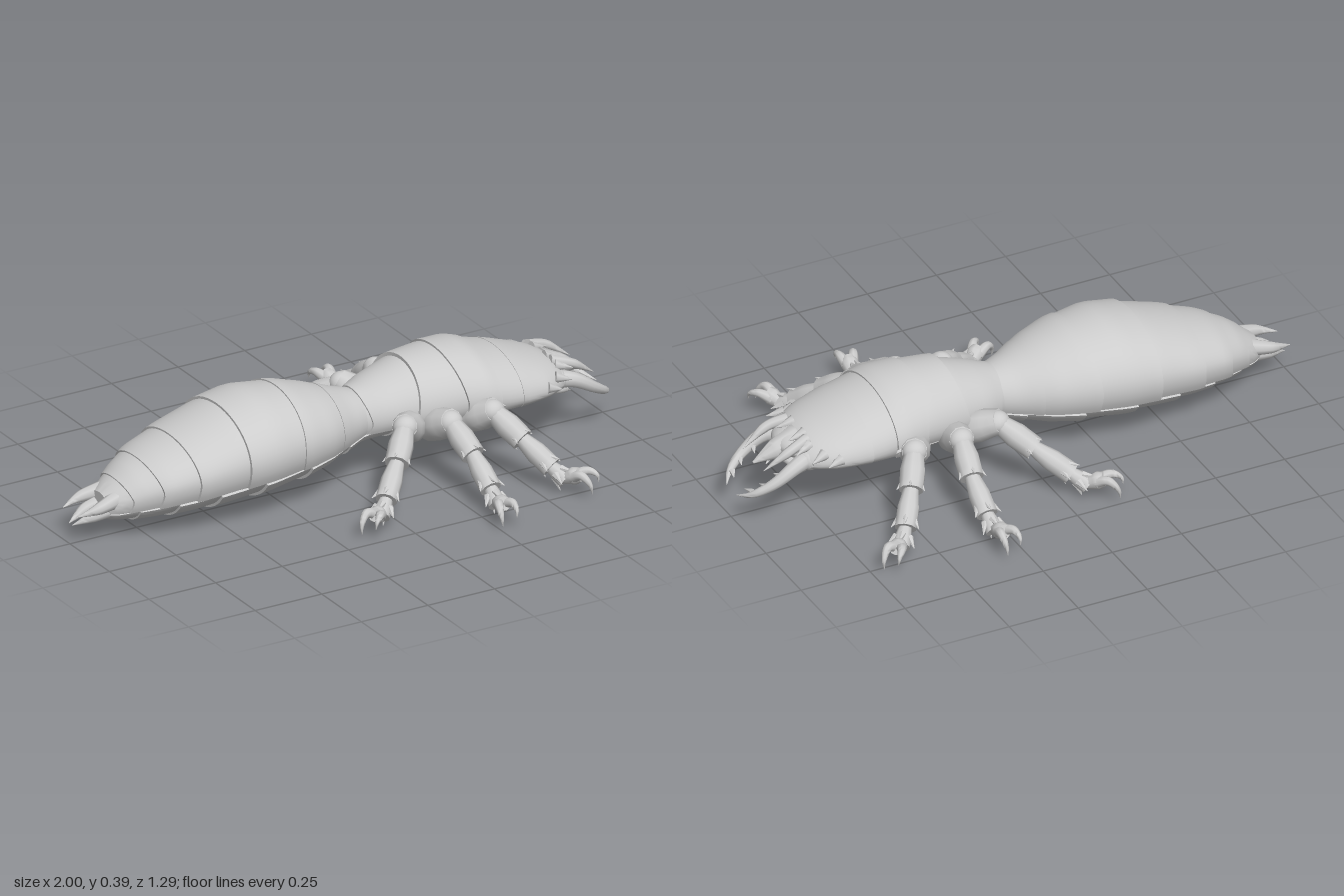
import * as THREE from 'three';
import { toCreasedNormals } from 'three/addons/utils/BufferGeometryUtils.js';

const V = (x, y, z) => new THREE.Vector3(x, y, z);
const shell = new THREE.MeshStandardMaterial({ color: 0xcccccc, side: THREE.DoubleSide });
shell.name = 'pale grey shell';

// Body outline along x: [x, half width, bottom, widest height, top]
const BODY = [
  [-0.89, 0.055, 0.08, 0.125, 0.165], [-0.86, 0.08, 0.066, 0.135, 0.19], [-0.8, 0.115, 0.058, 0.16, 0.235],
  [-0.72, 0.16, 0.053, 0.185, 0.275], [-0.6, 0.197, 0.05, 0.205, 0.32], [-0.46, 0.22, 0.053, 0.225, 0.372],
  [-0.34, 0.228, 0.058, 0.235, 0.4], [-0.2, 0.208, 0.07, 0.235, 0.388], [-0.1, 0.178, 0.085, 0.23, 0.36],
  [0, 0.125, 0.112, 0.22, 0.325], [0.06, 0.1, 0.13, 0.22, 0.31], [0.12, 0.127, 0.138, 0.23, 0.335],
  [0.24, 0.162, 0.14, 0.24, 0.375], [0.36, 0.188, 0.13, 0.25, 0.392], [0.46, 0.205, 0.125, 0.25, 0.385],
  [0.54, 0.203, 0.145, 0.235, 0.358], [0.62, 0.196, 0.16, 0.225, 0.335], [0.7, 0.182, 0.165, 0.22, 0.308],
  [0.76, 0.15, 0.17, 0.215, 0.288], [0.8, 0.115, 0.172, 0.21, 0.26],
];

function outline(x) {
  let i = 0;
  while (i < BODY.length - 2 && x > BODY[i + 1][0]) i++;
  const a = BODY[i], b = BODY[i + 1];
  const t = THREE.MathUtils.clamp((x - a[0]) / (b[0] - a[0]), 0, 1);
  return a.map((v, k) => v + (b[k] - v) * t);
}

// Point on the body at station x and angle a, from +z over the top
function skin(x, a, scale) {
  const [, hw, lo, mid, hi] = outline(x);
  const s = Math.sin(a);
  return V(x, mid + scale * s * (s > 0 ? hi - mid : mid - lo), scale * hw * Math.cos(a));
}

// Joins closed rings into a solid, capping both ends
function loft(rings, crease = 0.6) {
  const n = rings[0].length, index = [], pos = rings.flat().flatMap((p) => p.toArray());
  for (let i = 0; i < rings.length - 1; i++) {
    for (let j = 0; j < n; j++) {
      const a = i * n + j, b = i * n + (j + 1) % n;
      index.push(a, a + n, b, b, a + n, b + n);
    }
  }
  const e = (rings.length - 1) * n;
  for (let j = 0; j < n / 2 - 1; j++) {
    const a = j, b = j + 1, c = n - 2 - j, d = n - 1 - j;
    index.push(a, b, c, a, c, d, e + a, e + c, e + b, e + a, e + d, e + c);
  }
  const g = new THREE.BufferGeometry();
  g.setAttribute('position', new THREE.Float32BufferAttribute(pos, 3));
  g.setIndex(index);
  return toCreasedNormals(g, crease);
}

function add(parent, name, geometry) {
  const m = new THREE.Mesh(geometry, shell);
  m.name = name;
  parent.add(m);
  return m;
}

// Curved armour plate between two stations; scale grows from s0 to s1 and bends shift the edges at the midline
function plate(x0, x1, s0, s1, bend0, bend1, a0, a1) {
  const rings = [], N = 32, M = 8;
  for (let i = 0; i <= M; i++) {
    const t = i / M, x = x0 + (x1 - x0) * t, s = s0 + (s1 - s0) * t, ring = [];
    for (const back of [false, true]) {
      for (let j = 0; j <= N; j++) {
        const a = a0 + (a1 - a0) * (back ? N - j : j) / N;
        const shift = (bend0 + (bend1 - bend0) * t) * Math.abs(Math.sin(a));
        const p = skin(x + shift, a, back ? s * 0.9 : s);
        p.x = x + shift;
        ring.push(p);
      }
    }
    rings.push(ring);
  }
  return loft(rings);
}

// Tapered limb, spine or claw through points, with radii spread along it
function horn(points, radii, sides = 10) {
  const curve = new THREE.CatmullRomCurve3(points), M = points.length > 2 ? 16 : 6;
  const f = curve.computeFrenetFrames(M), rings = [];
  for (let i = 0; i <= M; i++) {
    const u = i / M, k = u * (radii.length - 1), q = Math.min(Math.floor(k), radii.length - 2);
    const r = radii[q] + (radii[q + 1] - radii[q]) * (k - q), c = curve.getPointAt(u), ring = [];
    for (let j = 0; j < sides; j++) {
      const a = j / sides * Math.PI * 2;
      ring.push(c.clone().addScaledVector(f.normals[i], r * Math.cos(a)).addScaledVector(f.binormals[i], -r * Math.sin(a)));
    }
    rings.push(ring);
  }
  return loft(rings, 0.9);
}

function ball(parent, name, p, sx, sy, sz) {
  const m = add(parent, name, new THREE.SphereGeometry(1, 18, 12));
  m.position.copy(p);
  m.scale.set(sx, sy, sz);
}

// Leg with coxa, thigh, two flared shin sections, foot and two claws
function leg(name, side, plan, lean) {
  const g = new THREE.Group();
  g.name = name;
  const heights = [0.18, 0.235, 0.165, 0.09, 0.055, 0.075];
  const p = plan.map(([x, z], i) => V(x + (side < 0 ? lean * i / 5 : 0), heights[i], z * side));
  const widths = [[0.05, 0.055, 0.042], [0.03, 0.042, 0.04], [0.024, 0.036, 0.036], [0.02, 0.027, 0.03], [0.019, 0.024, 0.03, 0.024]];
  const parts = ['coxa', 'thigh', 'upperShin', 'lowerShin', 'foot'];
  parts.forEach((part, i) => {
    const a = p[i], b = p[i + 1], dir = b.clone().sub(a).normalize();
    add(g, part, horn([a, b.clone().addScaledVector(dir, 0.01)], widths[i]));
    const across = V(0, 1, 0).cross(dir).normalize();
    const up = dir.clone().cross(across).normalize();
    // Thorns around the far end of each section
    if (i > 0 && i < 4) {
      for (const [u, v] of [[1, 0.2], [-1, 0.2], [0, 1], [0, -1]]) {
        const o = across.clone().multiplyScalar(u).addScaledVector(up, v);
        const root = b.clone().addScaledVector(dir, -0.025).addScaledVector(o, 0.022);
        add(g, 'thorn', horn([root, root.clone().addScaledVector(dir, 0.04).addScaledVector(o, 0.024)], [0.013, 0.001], 6));
      }
    }
    if (i === 4) {
      for (const s of [-1, 1]) {
        const at = (d, h, w) => b.clone().addScaledVector(dir, d).addScaledVector(across, s * w).add(V(0, h, 0));
        add(g, 'claw', horn([at(-0.015, 0, 0.01), at(0.03, 0.0, 0.024), at(0.065, -0.033 + s * 0.008, 0.026), at(0.07, -0.06 + s * 0.012, 0.024)], [0.02, 0.016, 0.01, 0.001], 8));
      }
    }
  });
  ball(g, 'knee', p[1], 0.042, 0.038, 0.04);
  return g;
}

export function createModel() {
  const model = new THREE.Group();
  model.name = 'insect';

  // Inner body under the plates
  const core = [];
  for (let i = 0; i <= 70; i++) {
    const x = -0.89 + 1.66 * i / 70;
    core.push(Array.from({ length: 40 }, (_, j) => skin(x, j / 40 * Math.PI * 2, 0.95)));
  }
  add(model, 'bodyCore', loft(core));

  // Overlapping back plates: [rear x, front x, rear scale, front scale, rear bend, front bend]
  const back = [
    [-0.89, -0.79, 1, 0.97, 0, 0], [-0.82, -0.7, 1.05, 0.97, -0.02, -0.01], [-0.735, -0.58, 1.05, 0.97, -0.02, -0.01],
    [-0.62, -0.42, 1.04, 0.97, -0.01, 0], [-0.45, -0.2, 1.03, 0.98, 0, 0], [-0.24, -0.03, 1.015, 0.99, 0.01, 0],
    [-0.06, 0.1, 1.01, 0.98, 0, 0], [0.075, 0.28, 1.04, 0.98, -0.02, 0.01], [0.215, 0.41, 1.07, 0.98, 0.025, -0.02],
    [0.385, 0.5, 1.04, 1.04, -0.025, 0], [0.49, 0.6, 1.0, 1.02, 0.01, 0], [0.585, 0.77, 1.03, 1.0, 0, 0.03],
  ];
  const drop = 0.42;
  back.forEach(([x0, x1, s0, s1, b0, b1], i) =>
    add(model, i < 7 ? 'abdomenBackPlate' : i < 11 ? 'thoraxBackPlate' : 'headHood',
      plate(x0, x1, s0, s1, b0, b1, -drop, Math.PI + drop)));

  // Belly plates
  const belly = [-0.88, -0.78, -0.66, -0.52, -0.36, -0.18, 0, 0.16, 0.32, 0.47];
  for (let i = 0; i < belly.length - 1; i++) {
    add(model, 'bellyPlate', plate(belly[i] - 0.015, belly[i + 1], 1.015, 0.96, 0, 0, Math.PI + 0.5, Math.PI * 2 - 0.5));
  }

  // Face: brow, beak, chin and throat
  ball(model, 'brow', V(0.77, 0.235, 0), 0.07, 0.04, 0.1);
  add(model, 'beak', horn([V(0.76, 0.24, 0), V(0.85, 0.215, 0), V(0.92, 0.19, 0)], [0.05, 0.035, 0.004]));
  ball(model, 'throat', V(0.6, 0.19, 0), 0.14, 0.05, 0.11);
  ball(model, 'chin', V(0.7, 0.175, 0), 0.12, 0.035, 0.1);

  for (const s of [1, -1]) {
    // Jaws with inner teeth
    add(model, 'jaw', horn([V(0.75, 0.215, s * 0.08), V(0.82, 0.21, s * 0.112), V(0.9, 0.165, s * 0.112),
      V(0.965, 0.125, s * 0.08), V(0.998, 0.108, s * 0.035)], [0.034, 0.026, 0.02, 0.014, 0.001]));
    for (const [x, y, z] of [[0.87, 0.18, 0.1], [0.92, 0.152, 0.095], [0.96, 0.13, 0.07]]) {
      add(model, 'jawTooth', horn([V(x, y, s * z), V(x + 0.01, y - 0.004, s * (z - 0.032))], [0.011, 0.001], 6));
    }
    ball(model, 'jawSocket', V(0.765, 0.215, s * 0.09), 0.04, 0.04, 0.045);
    // Feelers on the upper and lower face
    add(model, 'upperFeeler', horn([V(0.76, 0.275, s * 0.07), V(0.83, 0.255, s * 0.085), V(0.92, 0.2, s * 0.075)], [0.02, 0.016, 0.001], 8));
    add(model, 'lowerFeeler', horn([V(0.74, 0.17, s * 0.05), V(0.81, 0.16, s * 0.065), V(0.85, 0.14, s * 0.045)], [0.02, 0.016, 0.002], 8));
    // Head and shoulder spikes
    for (const [x, y, z, dx, dz] of [[0.69, 0.235, 0.175, 0.05, 0.012], [0.735, 0.25, 0.145, 0.055, 0.02],
      [0.765, 0.265, 0.09, 0.055, 0.025], [0.755, 0.28, 0.04, 0.06, 0.005], [0.47, 0.24, 0.2, 0.04, 0.015]]) {
      add(model, 'spike', horn([V(x, y, s * z), V(x + dx, y - 0.012, s * (z + dz))], [0.02, 0.001], 8));
    }
    // Tail prongs
    add(model, 'upperTailProng', horn([V(-0.85, 0.15, s * 0.045), V(-0.93, 0.135, s * 0.058), V(-1, 0.118, s * 0.045)], [0.03, 0.02, 0.001], 8));
    add(model, 'lowerTailProng', horn([V(-0.86, 0.115, s * 0.03), V(-0.93, 0.1, s * 0.03), V(-0.998, 0.076, s * 0.01)], [0.03, 0.02, 0.001], 8));

    const hand = s > 0 ? 'right' : 'left';
    model.add(leg(hand + 'FrontLeg', s, [[0.41, 0.14], [0.445, 0.235], [0.495, 0.33], [0.55, 0.42], [0.578, 0.465], [0.605, 0.505]], 0.05));
    model.add(leg(hand + 'MiddleLeg', s, [[0.27, 0.13], [0.285, 0.24], [0.3, 0.35], [0.3, 0.465], [0.295, 0.515], [0.285, 0.572]], 0.02));
    model.add(leg(hand + 'RearLeg', s, [[0.22, 0.11], [0.14, 0.2], [0.06, 0.285], [-0.03, 0.37], [-0.07, 0.405], [-0.11, 0.437]], -0.01));
  }
  return model;
}
